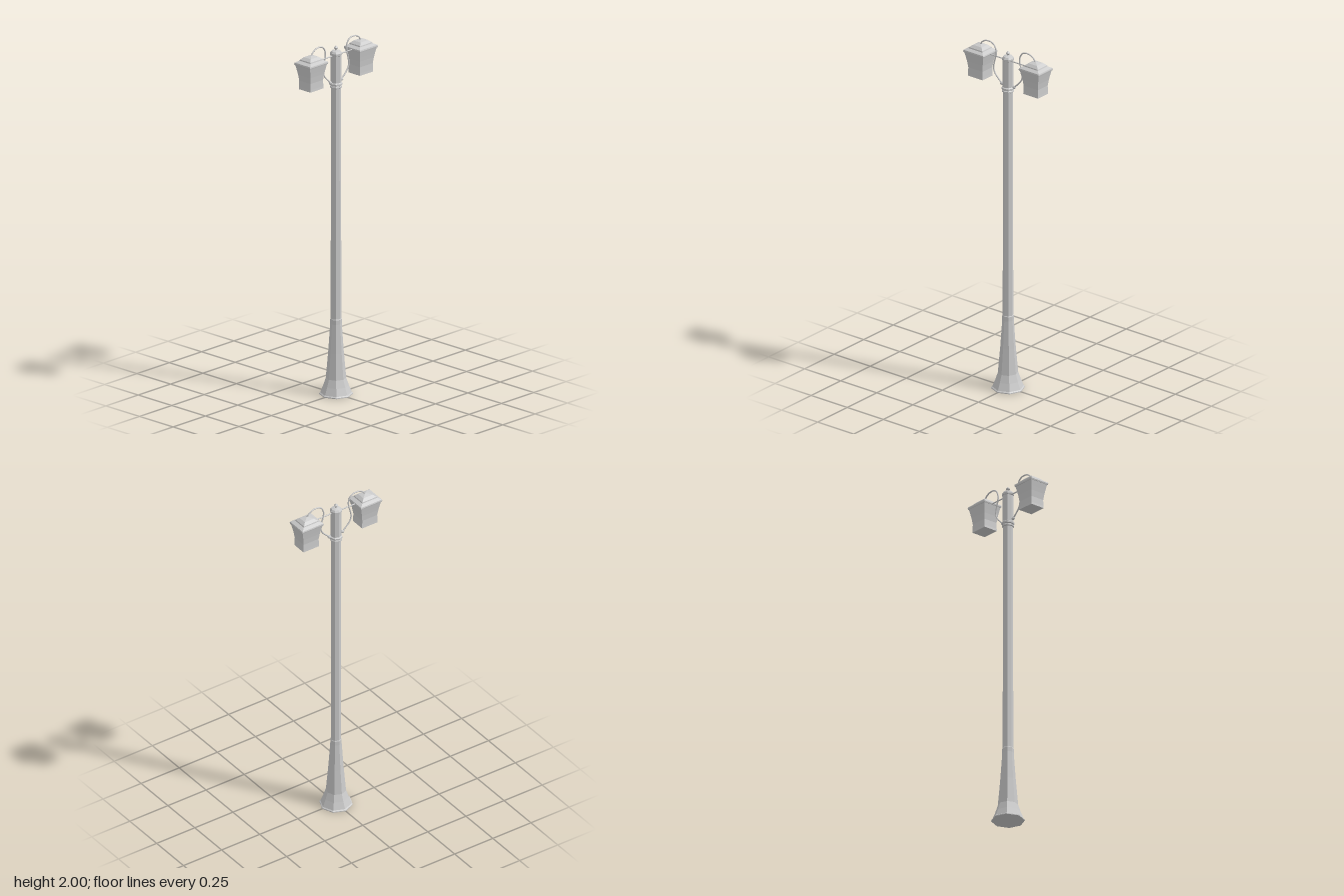
import * as THREE from 'three';

const flat = new THREE.MeshStandardMaterial({ color: 0xcccccc, flatShading: true });
const smooth = new THREE.MeshStandardMaterial({ color: 0xcccccc });

function add(parent, name, geometry, material = flat) {
  const mesh = new THREE.Mesh(geometry, material);
  mesh.name = name;
  parent.add(mesh);
  return mesh;
}

// Faceted turned part from [radius, height] pairs, listed bottom to top
function turned(profile, sides = 8, start = 0) {
  return new THREE.LatheGeometry(profile.map(([r, y]) => new THREE.Vector2(r, y)), sides, start);
}

// Rectangular part from [half width, height] pairs; depth is a fraction of width
function squared(profile, depth) {
  return turned(profile.map(([w, y]) => [w * Math.SQRT2, y]), 4, Math.PI / 4).scale(1, 1, depth);
}

// Lantern with its scroll arm, tie bar and bracket, on the +x side
function createArm(side) {
  const arm = new THREE.Group();
  arm.name = side + 'Arm';

  const lantern = new THREE.Group();
  lantern.name = side + 'Lantern';
  lantern.position.x = 0.192;
  arm.add(lantern);
  add(lantern, 'lanternBody', squared([
    [0, 1.777], [0.051, 1.777], [0.05, 1.79], [0.049, 1.825], [0.054, 1.86], [0.059, 1.885], [0.066, 1.918], [0, 1.918],
  ], 0.85));
  add(lantern, 'lanternRoof', squared([
    [0, 1.914], [0.068, 1.914], [0.07, 1.921], [0.068, 1.928], [0.048, 1.938], [0.046, 1.944], [0.03, 1.957], [0, 1.966],
  ], 0.86));

  const path = new THREE.CatmullRomCurve3([
    [0.036, 1.768], [0.055, 1.785], [0.09, 1.822], [0.099, 1.85], [0.094, 1.885], [0.083, 1.925], [0.082, 1.953],
    [0.095, 1.982], [0.115, 1.994], [0.137, 1.996], [0.16, 1.991], [0.18, 1.977], [0.192, 1.958],
  ].map(([x, y]) => new THREE.Vector3(x, y, 0)));
  add(arm, 'scrollArm', new THREE.TubeGeometry(path, 40, 0.004, 8), smooth);

  const bar = add(arm, 'tieBar', new THREE.CylinderGeometry(0.0035, 0.0035, 0.115, 8), smooth);
  bar.rotation.z = Math.PI / 2;
  bar.position.set(0.0775, 1.921, 0);

  const bracket = add(arm, 'bracket', new THREE.SphereGeometry(0.01, 8, 6), smooth);
  bracket.scale.set(1.1, 0.9, 0.8);
  bracket.position.set(0.043, 1.773, 0);
  return arm;
}

export function createModel() {
  const model = new THREE.Group();
  model.name = 'streetLamp';

  // Flared foot and octagonal post
  add(model, 'base', turned([
    [0, 0], [0.091, 0], [0.091, 0.005], [0.085, 0.01], [0.069, 0.05], [0.055, 0.092], [0.042, 0.24], [0.031, 0.4],
  ]));
  add(model, 'baseCollar', turned([[0.028, 0.395], [0.031, 0.398], [0.031, 0.425], [0.027, 0.432]]));
  add(model, 'post', turned([[0.0285, 0.4], [0.0275, 1.75]]));

  // Head of the post between the arms
  add(model, 'lowerRing', turned([[0.027, 1.735], [0.033, 1.738], [0.033, 1.746], [0.029, 1.75]]));
  add(model, 'upperRing', turned([[0.029, 1.75], [0.035, 1.753], [0.035, 1.763], [0.029, 1.768]]));
  add(model, 'postHead', turned([[0.029, 1.76], [0.029, 1.925]]));
  add(model, 'cap', turned([[0.029, 1.92], [0.033, 1.923], [0.033, 1.934], [0.026, 1.944], [0.01, 1.949], [0, 1.949]]));
  add(model, 'finial', turned([
    [0.008, 1.946], [0.005, 1.953], [0.011, 1.96], [0.011, 1.964], [0.004, 1.971], [0, 1.977],
  ]));

  // Matching arms on both sides
  model.add(createArm('left'));
  const right = createArm('right');
  right.rotation.y = Math.PI;
  model.add(right);
  return model;
}
